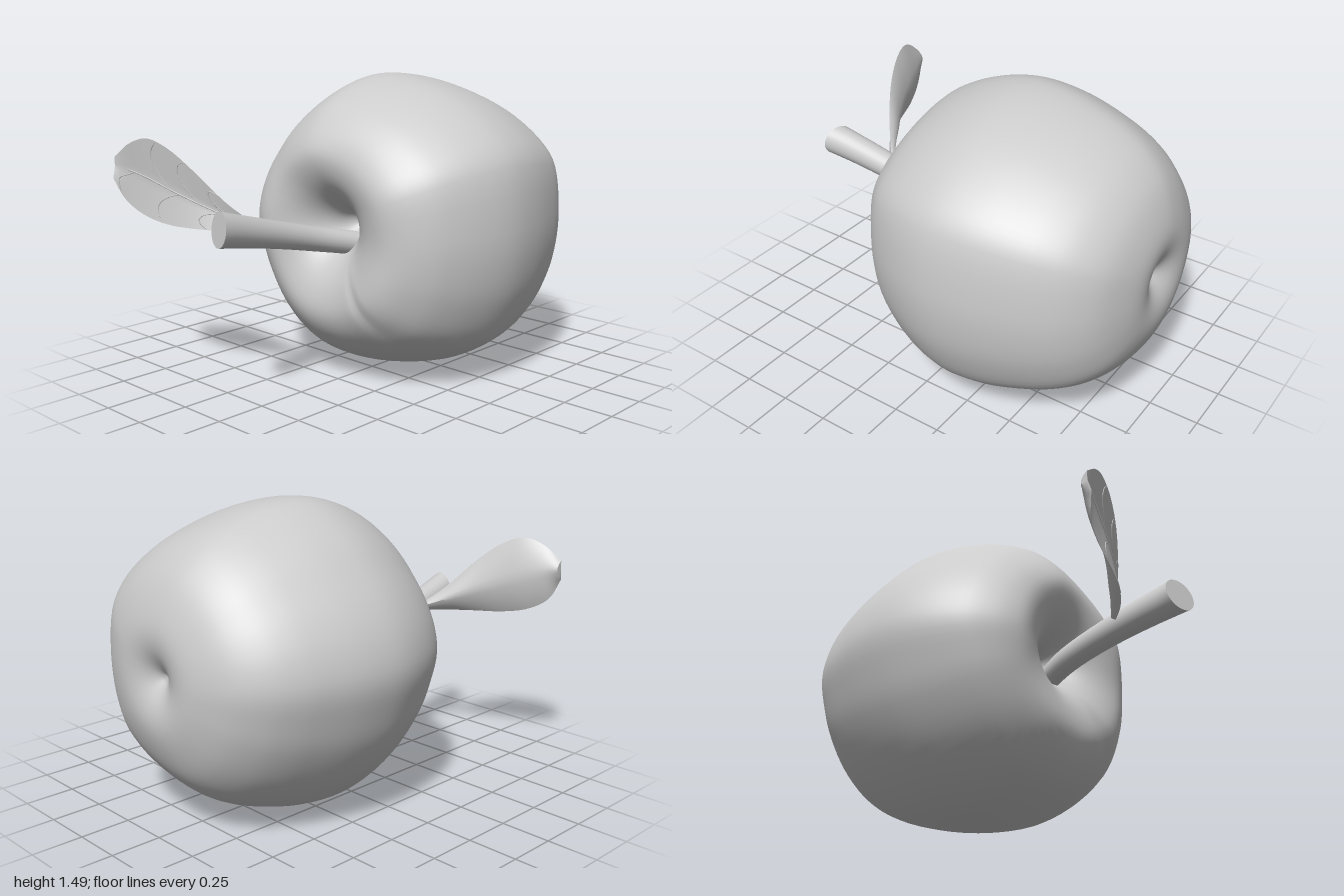
import * as THREE from 'three';
import { mergeVertices, toCreasedNormals } from 'three/addons/utils/BufferGeometryUtils.js';
import { ParametricGeometry } from 'three/addons/geometries/ParametricGeometry.js';

const material = new THREE.MeshStandardMaterial({ color: 0xcccccc });

const spline = (points, closed = false) => new THREE.CatmullRomCurve3(
  points.map(([x, y, z = 0]) => new THREE.Vector3(x, y, z)), closed, 'centripetal');

// Smooth surface from a rule fn(u, v, target)
function surface(fn, nu, nv) {
  const g = new ParametricGeometry(fn, nu, nv);
  g.deleteAttribute('normal');
  g.deleteAttribute('uv');
  const merged = mergeVertices(g, 1e-4);
  merged.computeVertexNormals();
  return merged;
}

function named(name, geometry) {
  const mesh = new THREE.Mesh(geometry, material);
  mesh.name = name;
  return mesh;
}

// Fruit: a lobed outline scaled along a profile of (scale, z) from front hollow to back hollow
function createFruit() {
  const outline = spline([
    [0.75, 0.05], [0.71, 0.34], [0.63, 0.46], [0.43, 0.605], [0.21, 0.695], [0, 0.738],
    [-0.15, 0.735], [-0.3, 0.67], [-0.44, 0.57], [-0.54, 0.465], [-0.645, 0.33],
    [-0.72, 0.18], [-0.75, 0.02], [-0.71, -0.16], [-0.65, -0.32], [-0.52, -0.52],
    [-0.355, -0.665], [-0.19, -0.735], [0, -0.745], [0.245, -0.7], [0.43, -0.63],
    [0.59, -0.515], [0.69, -0.33], [0.735, -0.16],
  ], true);
  const profile = spline([
    [0, 0.04], [0.06, 0.08], [0.12, 0.17], [0.22, 0.26], [0.32, 0.315], [0.43, 0.347],
    [0.53, 0.353], [0.63, 0.325], [0.72, 0.275], [0.81, 0.203], [0.89, 0.1], [0.945, 0],
    [0.985, -0.11], [1, -0.22], [0.975, -0.4], [0.9, -0.6], [0.845, -0.7], [0.765, -0.8],
    [0.63, -0.9], [0.46, -0.965], [0.3, -0.995], [0.18, -0.985], [0.08, -0.95], [0, -0.91],
  ]);
  const p = new THREE.Vector3(), q = new THREE.Vector3();
  return surface((u, v, target) => {
    outline.getPoint(u % 1, p);
    profile.getPointAt(1 - v, q);
    const angle = Math.atan2(p.y, p.x);
    const front = q.y > 0 ? 1 : 0;
    // Both hollows become round towards their centres
    const round = 1 - THREE.MathUtils.smoothstep(q.x, 0.1, 0.6);
    p.setLength(THREE.MathUtils.lerp(p.length(), 0.735, round));
    // Gentle lobes on the front rim and one shallow crease at lower right
    const rim = front * Math.exp(-(((q.x - 0.52) / 0.16) ** 2));
    const crease = Math.exp(-(((angle + 0.95) / 0.07) ** 2));
    target.set(p.x * q.x, 0.75 + p.y * q.x + 0.025 * front * round,
      q.y + rim * (0.007 * Math.cos(5 * (angle + 0.7)) - 0.012 * crease));
  }, 96, 72);
}

// Stem: round sections along a bent path, flaring to a slanted cut end
function createStem() {
  const path = spline([
    [0.045, 0.685, 0.15], [0.005, 0.705, 0.24], [-0.03, 0.73, 0.36],
    [-0.042, 0.775, 0.55], [-0.032, 0.822, 0.75], [-0.01, 0.87, 0.962],
  ]);
  const rows = 18, c = new THREE.Vector3();
  const geometry = surface((u, v, target) => {
    const row = Math.round(v * rows);
    const t = THREE.MathUtils.clamp((row - 1) / (rows - 2), 0, 1);
    // First and last rows collapse to a point to close the ends
    const r = row === 0 || row === rows ? 0 : 0.06 + 0.02 * t ** 3;
    const a = (u % 1) * Math.PI * 2;
    const dx = r * Math.cos(a), dy = r * Math.sin(a);
    path.getPoint(t, c);
    target.set(c.x + dx, c.y + dy, c.z + t * (0.3 * dx - 0.15 * dy));
  }, 24, rows);
  return toCreasedNormals(geometry, 0.7);
}

// Leaf: blade spanned between upper edge, midrib and lower edge
const upper = spline([
  [-0.09, 0.825, 0.66], [-0.2, 0.93, 0.755], [-0.33, 1.08, 0.845], [-0.45, 1.18, 0.9],
  [-0.56, 1.22, 0.935], [-0.66, 1.19, 0.965], [-0.755, 1.12, 0.985],
]);
const middle = spline([
  [-0.09, 0.815, 0.65], [-0.2, 0.865, 0.74], [-0.33, 0.925, 0.82], [-0.45, 0.975, 0.873],
  [-0.56, 1.02, 0.91], [-0.66, 1.055, 0.945], [-0.755, 1.075, 0.985],
]);
const lower = spline([
  [-0.09, 0.8, 0.66], [-0.2, 0.805, 0.765], [-0.33, 0.81, 0.845], [-0.47, 0.82, 0.9],
  [-0.61, 0.855, 0.935], [-0.71, 0.92, 0.965], [-0.75, 1.02, 1],
]);
function leafPoint(u, v, target) {
  const edge = (v > 0 ? upper : lower).getPoint(u);
  return target.copy(middle.getPoint(u)).lerp(edge, Math.abs(v));
}

// Solid blade: each section runs over the front and back again behind it
function createBlade() {
  const rows = 30;
  const geometry = surface((s, w, target) => {
    const row = Math.round(w * rows);
    const u = THREE.MathUtils.clamp((row - 1) / (rows - 2), 0, 1);
    // End rows collapse to close the blade
    const across = row === 0 || row === rows ? 0 : Math.cos((s % 1) * Math.PI * 2);
    const back = across !== 0 && s > 0.5 && s < 1;
    leafPoint(u, across, target);
    if (back) {
      const depth = 0.032 * Math.min(1, 0.3 + 3 * u) * (1 - across ** 2);
      target.x += depth * -0.3;
      target.z -= depth;
      target.x = Math.max(target.x, -0.755);
    }
  }, 32, rows);
  // Sections run top edge, front, bottom edge, back: reverse to face outward
  const index = geometry.index.array;
  for (let i = 0; i < index.length; i += 3) {
    [index[i], index[i + 1]] = [index[i + 1], index[i]];
  }
  return toCreasedNormals(geometry, 0.7);
}

// Vein: a thin tube lying on the front of the blade
function createVein(uv, radius) {
  const points = [];
  for (let i = 0; i <= 12; i++) {
    const [u, v] = uv(i / 12);
    points.push(leafPoint(u, v, new THREE.Vector3()));
  }
  return new THREE.TubeGeometry(new THREE.CatmullRomCurve3(points), 24, radius, 5);
}

function createLeaf() {
  const leaf = new THREE.Group();
  leaf.name = 'leaf';
  leaf.add(named('leafBlade', createBlade()));
  leaf.add(named('midrib', createVein((t) => [t * 0.88, 0], 0.004)));
  // Side veins: start along the midrib, and side of the blade
  for (const [start, side] of [
    [0.15, 1], [0.33, 1], [0.53, 1], [0.2, -1], [0.46, -1], [0.82, -1],
  ]) {
    leaf.add(named('sideVein', createVein(
      (t) => [start + 0.12 * Math.sin(t * 2.5), side * t * 0.95], 0.003)));
  }
  return leaf;
}

export function createModel() {
  const model = new THREE.Group();
  model.name = 'apple';
  model.add(named('fruit', createFruit()), named('stem', createStem()), createLeaf());
  return model;
}
